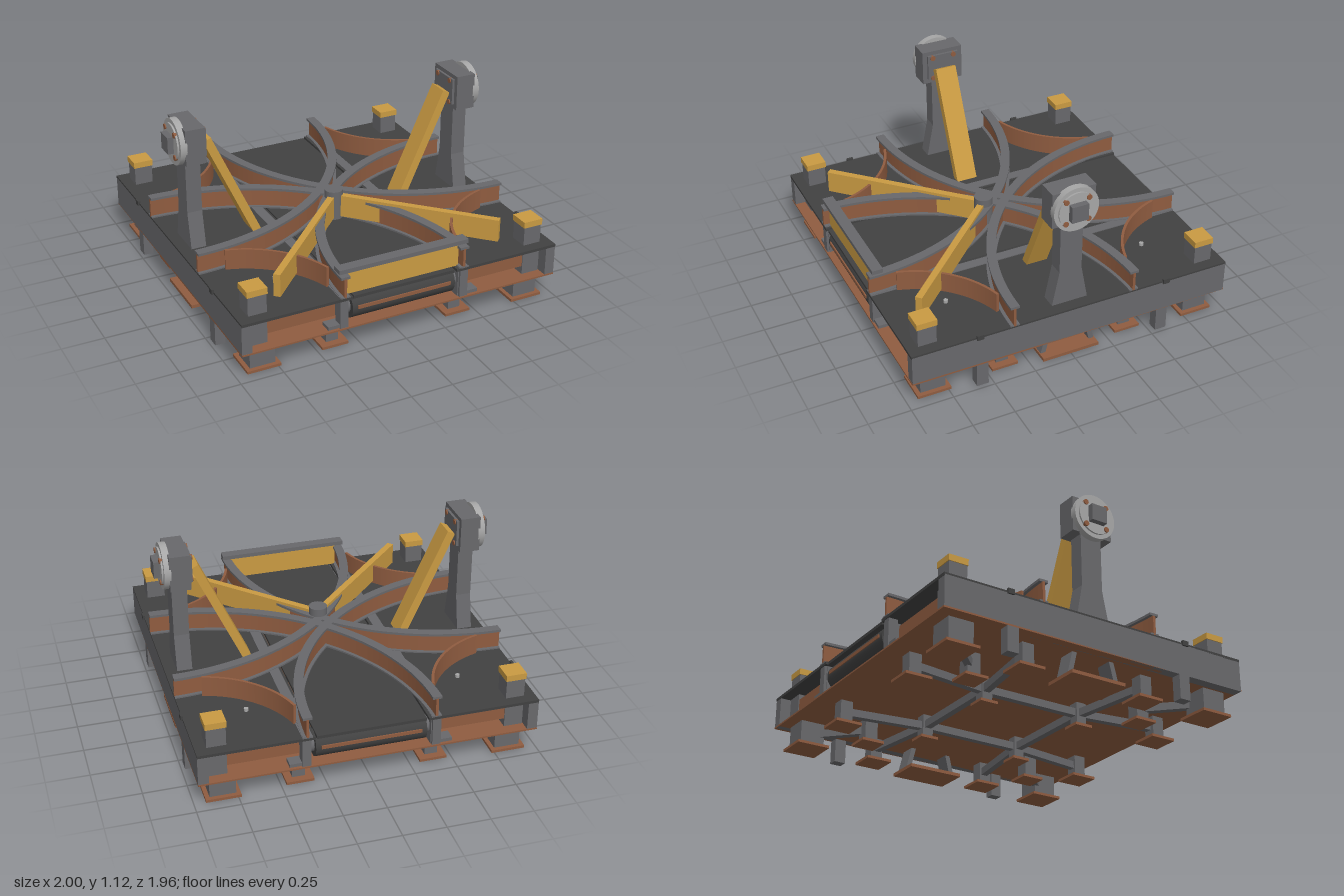
import * as THREE from 'three';

const mat = (name, color) => {
  const m = new THREE.MeshStandardMaterial({ color });
  m.name = name;
  return m;
};

export function createModel() {
  const steel = mat('steel grey', 0x68686b);
  const dark = mat('dark deck', 0x414141);
  const copper = mat('copper brown', 0x8f5c40);
  const yellow = mat('machine yellow', 0xc99a42);
  const light = mat('light metal', 0xa6a6a6);

  const model = new THREE.Group();
  model.name = 'junctionMachine';
  const S = [-1, 1];

  const add = (name, geo, m, parent = model) => {
    const mesh = new THREE.Mesh(geo, m);
    mesh.name = name;
    parent.add(mesh);
    return mesh;
  };
  // box given by its limits on each axis
  const box = (name, m, x0, x1, y0, y1, z0, z1, parent) => {
    const g = new THREE.BoxGeometry(Math.abs(x1 - x0), Math.abs(y1 - y0), Math.abs(z1 - z0));
    g.translate((x0 + x1) / 2, (y0 + y1) / 2, (z0 + z1) / 2);
    return add(name, g, m, parent);
  };
  // bar with a rectangular section running between two points
  const bar = (name, m, a, b, w, h, parent) => {
    const p = new THREE.Vector3(...a), q = new THREE.Vector3(...b);
    const mesh = add(name, new THREE.BoxGeometry(w, h, p.distanceTo(q)), m, parent);
    mesh.position.copy(p).add(q).multiplyScalar(0.5);
    mesh.lookAt(q);
    return mesh;
  };
  // cylinder lying along x
  const rod = (name, m, r, x0, x1, y, z, parent, seg = 32) => {
    const g = new THREE.CylinderGeometry(r, r, Math.abs(x1 - x0), seg);
    g.rotateZ(Math.PI / 2).translate((x0 + x1) / 2, y, z);
    return add(name, g, m, parent);
  };
  // curved wall centred on a corner of the deck
  const arc = (name, m, sx, sz, radius, width, y0, y1, half) => {
    const mid = Math.atan2(sz, -sx), s = new THREE.Shape();
    s.absarc(0, 0, radius + width / 2, mid - half, mid + half, false);
    s.absarc(0, 0, radius - width / 2, mid + half, mid - half, true);
    const g = new THREE.ExtrudeGeometry(s, { depth: y1 - y0, bevelEnabled: false, curveSegments: 24 });
    g.rotateX(-Math.PI / 2).translate(sx * 0.98, y0, sz * 0.98);
    add(name, g, m);
  };

  // platform
  box('basePlate', copper, -0.98, 0.98, 0.15, 0.16, -0.98, 0.98);
  box('conveyorBelt', dark, -0.315, 0.315, 0.325, 0.343, -0.97, 0.97);
  for (const s of S) {
    box('deck', dark, s * 0.325, s * 0.98, 0.33, 0.347, -0.98, 0.98);
    box('sideSkirt', steel, s * 0.92, s * 0.98, 0.15, 0.336, -0.978, 0.978);
    box('deckRail', steel, s * 0.34, s * 0.4, 0.345, 0.352, -0.98, 0.98);
    box('conveyorSide', steel, s * 0.345, s * 0.36, 0.16, 0.33, -0.96, 0.96);
    for (const z of [-0.58, 0.58]) box('sideBolt', dark, s * 0.975, s * 0.99, 0.57 - 0.01 - 0.01 - 0.22, 0.36, z - 0.02, z + 0.02);
  }

  // end rollers with their copper scraper bars, and the end beams
  for (const sz of S) {
    rod('endRoller', dark, 0.08, -0.32, 0.32, 0.255, sz * 0.89);
    box('scraperBar', copper, -0.29, 0.29, 0.255, 0.275, sz * 0.965, sz * 0.975);
    for (const sx of S) {
      box('endBeam', copper, sx * 0.4, sx * 0.81, 0.21, 0.295, sz * 0.88, sz * 0.91);
      box('railEndPost', steel, sx * 0.35, sx * 0.4, 0.16, 0.345, sz * 0.92, sz * 0.975);
      box('railEndFoot', steel, sx * 0.35, sx * 0.47, 0.165, 0.185, sz * 0.9, sz * 0.97);
      rod('rollerHub', steel, 0.05, sx * 0.315, sx * 0.35, 0.255, sz * 0.89);
    }
  }

  // curved guide rails and inner guards, one of each per corner
  for (const sx of S) for (const sz of S) {
    arc('guideWeb', copper, sx, sz, 1.35, 0.016, 0.345, 0.465, Math.PI / 4);
    arc('guideFlange', steel, sx, sz, 1.35, 0.055, 0.462, 0.477, Math.PI / 4);
    arc('guideFootFlange', steel, sx, sz, 1.35, 0.055, 0.345, 0.355, Math.PI / 4);
    arc('cornerGuard', copper, sx, sz, 0.6, 0.016, 0.345, 0.468, Math.PI / 6);
    const bolt = add('deckBolt', new THREE.CylinderGeometry(0.013, 0.013, 0.02, 10), light);
    bolt.position.set(sx * 0.625, 0.355, sz * 0.625);
  }

  // legs, feet and corner posts
  const leg = (x, z, w, foot) => {
    box('leg', steel, x - w / 2, x + w / 2, 0.015, 0.152, z - w / 2, z + w / 2);
    box('foot', copper, x - foot / 2, x + foot / 2, 0, 0.016, z - foot / 2, z + foot / 2);
  };
  for (const sx of S) for (const sz of S) {
    leg(sx * 0.833, sz * 0.833, 0.15, 0.2);
    leg(sx * 0.565, sz * 0.565, 0.08, 0.14);
    leg(sx * 0.39, sz * 0.82, 0.075, 0.16);
    leg(sx * 0.82, sz * 0.39, 0.075, 0.16);
    leg(sx * 0.32, sz * 0.32, 0.065, 0.11);
    box('sidePost', steel, sx * 0.92, sx * 0.98, 0.005, 0.15, sz * 0.53, sz * 0.6);
    box('cornerPost', steel, sx * 0.805, sx * 0.915, 0.16, 0.46, sz * 0.805, sz * 0.915);
    box('cornerCap', yellow, sx * 0.8, sx * 0.92, 0.46, 0.497, sz * 0.8, sz * 0.92);
    bar('legBrace', steel, [sx * 0.8, 0.09, sz * 0.8], [sx * 0.565, 0.09, sz * 0.565], 0.04, 0.045);
    bar('legBrace', steel, [sx * 0.39, 0.09, sz * 0.82], [sx * 0.32, 0.09, sz * 0.32], 0.04, 0.045);
    bar('legBrace', steel, [sx * 0.82, 0.09, sz * 0.39], [sx * 0.32, 0.09, sz * 0.32], 0.04, 0.045);
  }
  for (const s of S) {
    box('crossBrace', steel, -0.32, 0.32, 0.07, 0.115, s * 0.3, s * 0.34);
    box('crossBrace', steel, s * 0.3, s * 0.34, 0.07, 0.115, -0.32, 0.32);
  }

  // side towers
  for (const s of S) {
    const tower = new THREE.Group();
    tower.name = s > 0 ? 'leftTower' : 'rightTower';
    model.add(tower);
    const p = new THREE.Shape();
    [[-0.11, 0.345], [0.11, 0.345], [0.068, 0.56], [0.068, 0.89], [-0.068, 0.89], [-0.068, 0.56]]
      .forEach(([z, y], i) => (i ? p.lineTo(z, y) : p.moveTo(z, y)));
    const g = new THREE.ExtrudeGeometry(p, { depth: 0.09, bevelEnabled: false });
    g.translate(0, 0, -0.045).rotateY(Math.PI / 2).translate(s * 0.865, 0, 0);
    add('towerPost', g, steel, tower);
    box('towerHead', steel, s * 0.805, s * 0.925, 0.88, 1.095, -0.13, 0.13, tower);
    box('headPlate', steel, s * 0.79, s * 0.805, 0.91, 1.07, -0.1, 0.1, tower);
    rod('headDisc', light, 0.135, s * 0.915, s * 0.955, 0.987, 0, tower, 40);
    rod('headDiscStep', light, 0.11, s * 0.955, s * 0.965, 0.987, 0, tower, 40);
    box('squareStub', steel, s * 0.95, s * 1.0, 0.937, 1.037, -0.05, 0.05, tower);
    for (const a of S) for (const b of S)
      rod('headBolt', copper, 0.016, s * 0.783, s * 0.972, 0.987 + a * 0.068, b * 0.068, tower, 12);
    bar('towerStrut', yellow, [s * 0.475, 0.335, 0], [s * 0.772, 0.985, 0], 0.13, 0.05, tower);
    // spread supports below the deck
    box('towerFoot', copper, s * 0.73, s * 0.95, 0, 0.02, -0.175, 0.175, tower);
    for (const b of S)
      bar('towerLeg', steel, [s * 0.85, 0.015, b * 0.155], [s * 0.85, 0.155, b * 0.12], 0.1, 0.03, tower);
  }

  // front gate
  box('gatePanel', yellow, -0.35, 0.35, 0.35, 0.492, 0.915, 0.945);
  box('gateCap', steel, -0.4, 0.4, 0.49, 0.515, 0.9, 0.965);

  // hub with two diverter arms
  const hub = add('armHub', new THREE.CylinderGeometry(0.055, 0.055, 0.18, 24), steel);
  hub.position.set(0, 0.435, 0.1);
  for (const s of S)
    bar('diverterArm', yellow, [s * 0.03, 0.427, 0.13], [s * 0.7, 0.427, 0.815], 0.04, 0.135);

  return model;
}
